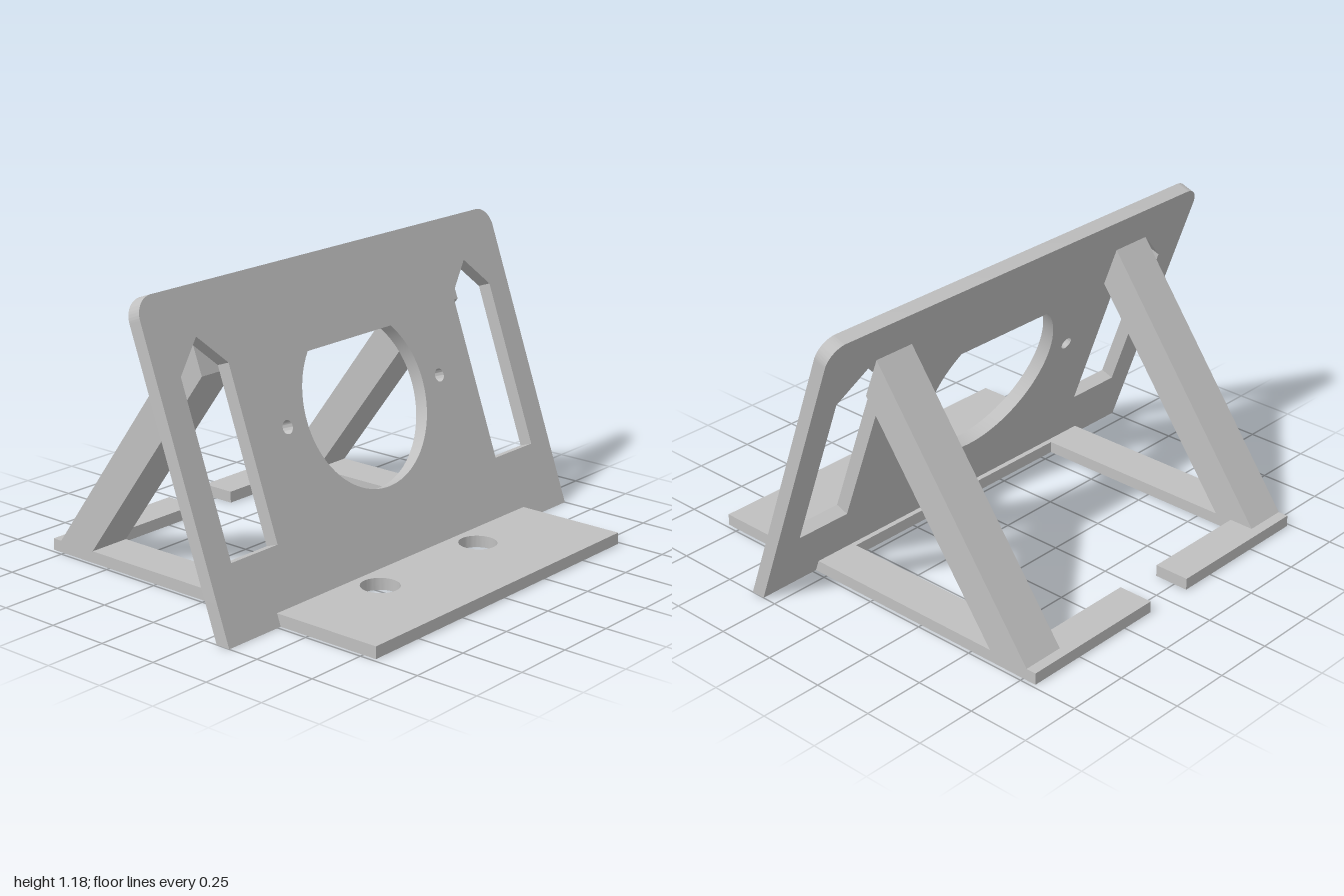
import * as THREE from 'three';
import { toCreasedNormals } from 'three/addons/utils/BufferGeometryUtils.js';

const TILT = THREE.MathUtils.degToRad(19.8);
const PANEL_T = 0.056;   // panel thickness
const BASE_H = 0.047;    // base thickness
const HALF_W = 0.735;    // half width of base

const polygon = (points, Type = THREE.Shape) =>
  new Type(points.map(([x, y]) => new THREE.Vector2(x, y)));

const circle = (x, y, r) => new THREE.Path().absarc(x, y, r, 0, Math.PI * 2, true);

const extrude = (shape, depth) =>
  new THREE.ExtrudeGeometry(shape, { depth, bevelEnabled: false, curveSegments: 32 });

export function createModel() {
  const group = new THREE.Group();
  const grey = new THREE.MeshStandardMaterial({ color: 0xc0c0c0 });
  grey.name = 'grey';

  const add = (name, geometry) => {
    const mesh = new THREE.Mesh(toCreasedNormals(geometry, 0.5), grey);
    mesh.name = name;
    group.add(mesh);
  };

  // Leaning panel: rounded top corners, drawn flat and then tilted back
  const top = 1.25, r = 0.08;
  const panel = new THREE.Shape();
  panel.moveTo(-1, 0);
  panel.lineTo(1, 0);
  panel.lineTo(1, top - r);
  panel.absarc(1 - r, top - r, r, 0, Math.PI / 2, false);
  panel.lineTo(-1 + r, top - r + r);
  panel.absarc(-1 + r, top - r, r, Math.PI / 2, Math.PI, false);
  panel.closePath();

  // Teardrop opening: circle with a 45 degree point
  const cy = 0.664, cr = 0.338;
  const drop = new THREE.Path();
  drop.moveTo(0, cy + cr * Math.SQRT2);
  drop.absarc(0, cy, cr, Math.PI * 0.75, Math.PI * 2.25, false);
  drop.closePath();
  panel.holes.push(drop);

  // Pointed side windows and screw holes
  for (const s of [-1, 1]) {
    panel.holes.push(polygon([
      [s * 0.645, 0.277], [s * 0.885, 0.277], [s * 0.885, 0.947],
      [s * 0.765, 1.067], [s * 0.645, 0.947],
    ], THREE.Path));
    panel.holes.push(circle(s * 0.442, 0.662, 0.026));
  }

  const panelGeo = extrude(panel, PANEL_T);
  panelGeo.translate(0, 0, -PANEL_T);
  // Trim the lower edge level with the ground
  const pos = panelGeo.attributes.position;
  for (let i = 0; i < pos.count; i++) {
    if (pos.getY(i) < 1e-4) pos.setY(i, -pos.getZ(i) * Math.tan(TILT));
  }
  panelGeo.rotateX(-TILT);
  panelGeo.translate(0, 0, 0.37);
  add('leaningPanel', panelGeo);

  // Base frame: front shelf, side rails and two rear arms with a gap
  const half = [
    [HALF_W, -0.807], [HALF_W, 0.807], [0.105, 0.807],
    [0.105, 0.663], [0.56, 0.663], [0.56, -0.272],
  ];
  const base = polygon([...half, ...half.map(([x, y]) => [-x, y]).reverse()]);
  for (const s of [-1, 1]) base.holes.push(circle(s * 0.293, -0.46, 0.075));
  add('baseFrame', extrude(base, BASE_H).rotateX(-Math.PI / 2));

  // Slanted rear struts, flush with the back of the panel
  const strut = polygon([
    [0.59, BASE_H], [0.765, BASE_H], [0.055, 1.01], [-0.004, 0.85],
  ]);
  for (const [name, x] of [['leftStrut', 0.56], ['rightStrut', -HALF_W]]) {
    add(name, extrude(strut, HALF_W - 0.56).rotateY(Math.PI / 2).translate(x, 0, 0));
  }

  return group;
}
